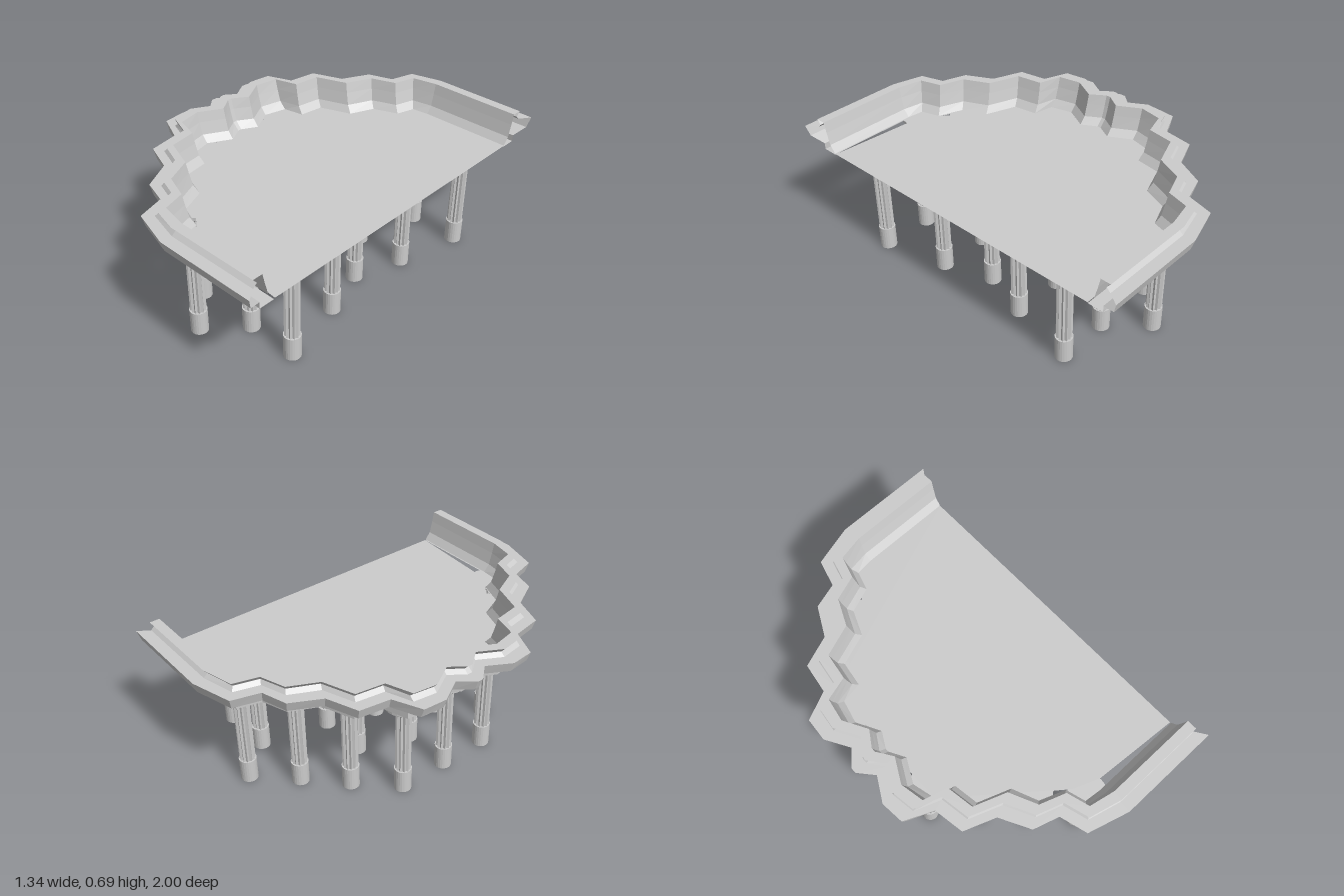
import * as THREE from 'three';

const mat = new THREE.MeshStandardMaterial({ color: 0xcccccc, flatShading: true, side: THREE.DoubleSide });
const smooth = new THREE.MeshStandardMaterial({ color: 0xcccccc, side: THREE.DoubleSide });

function add(parent, name, geometry, material = mat) {
  const mesh = new THREE.Mesh(geometry, material);
  mesh.name = name;
  parent.add(mesh);
  return mesh;
}

// Half of the scalloped rim, [x, z] from the open end to the middle
const outerHalf = [[0.67, 1], [0.13, 1], [-0.08, 0.94], [-0.12, 0.8], [-0.25, 0.76], [-0.33, 0.61],
  [-0.49, 0.55], [-0.515, 0.395], [-0.66, 0.33], [-0.67, 0.21], [-0.6, 0.09], [-0.665, 0.015]];
const innerHalf = [[0.63, 0.83], [0.14, 0.83], [0.05, 0.82], [0.02, 0.72], [-0.11, 0.67], [-0.165, 0.54],
  [-0.33, 0.48], [-0.35, 0.35], [-0.46, 0.33], [-0.49, 0.21], [-0.425, 0.09], [-0.47, 0.01]];
const mirrored = half => [...half, ...half.map(([x, z]) => [x, -z]).reverse()];

// Rim section: [fraction of the way from outer to inner path, height]
const section = [[1, 0.526], [0.53, 0.526], [0.53, 0.56], [0.1, 0.59], [0, 0.645], [0.35, 0.645],
  [0.47, 0.665], [0.35, 0.69], [0.65, 0.69], [0.72, 0.635], [0.82, 0.57], [1, 0.532]];

function rimGeometry() {
  const outer = mirrored(outerHalf), inner = mirrored(innerHalf);
  const pos = [], index = [], n = section.length;
  outer.forEach(([ox, oz], i) => {
    const [ix, iz] = inner[i];
    const isEnd = i === 0 || i === outer.length - 1;
    for (const [t, y] of section) {
      const tx = isEnd ? Math.min(1, t * 3) : t;
      pos.push(ox + (ix - ox) * tx, y, oz + (iz - oz) * t);
    }
  });
  for (let i = 0; i < outer.length - 1; i++) {
    for (let j = 0; j < n - 1; j++) {
      const a = i * n + j, b = a + n;
      index.push(a, b, a + 1, b, b + 1, a + 1);
    }
  }
  const g = new THREE.BufferGeometry();
  g.setAttribute('position', new THREE.Float32BufferAttribute(pos, 3));
  g.setIndex(index);
  g.computeVertexNormals();
  return g;
}

// Fluted shaft: every other rib of a cylinder is pulled inwards
function shaftGeometry() {
  const ribs = 24;
  const g = new THREE.CylinderGeometry(0.039, 0.039, 0.4, ribs, 1, true);
  const p = g.attributes.position;
  for (let i = 0; i < p.count; i++) {
    const k = Math.round(Math.atan2(p.getX(i), p.getZ(i)) / (2 * Math.PI) * ribs);
    if (k % 2 !== 0) {
      p.setX(i, p.getX(i) * 0.8);
      p.setZ(i, p.getZ(i) * 0.8);
    }
  }
  return g.translate(0, 0.32, 0);
}

export function createModel() {
  const model = new THREE.Group();
  model.name = 'columnedPlatform';

  add(model, 'rim', rimGeometry());

  // Flat deck, open along its straight side
  const outline = [[0.63, 0.825], [0.18, 0.79], [0.05, 0.74], [-0.32, 0.46], [-0.46, 0.33],
    [-0.46, -0.33], [-0.32, -0.46], [0.13, -0.83], [0.63, -0.83]];
  const deck = new THREE.Shape(outline.map(([x, z]) => new THREE.Vector2(x, -z)));
  add(model, 'deck', new THREE.ShapeGeometry(deck).rotateX(-Math.PI / 2).translate(0, 0.53, 0));

  // Columns: plain foot, fluted shaft, ringed capital
  const foot = new THREE.CylinderGeometry(0.043, 0.043, 0.125, 24).translate(0, 0.0625, 0);
  const shaft = shaftGeometry();
  const capital = new THREE.LatheGeometry([[0.03, 0.516], [0.055, 0.516], [0.06, 0.505], [0.088, 0.505],
    [0.095, 0.512], [0.095, 0.527], [0, 0.527]].map(([r, y]) => new THREE.Vector2(r, y)), 24);

  const column = (x, z) => {
    const c = new THREE.Group();
    c.name = 'column';
    add(c, 'columnFoot', foot);
    add(c, 'columnShaft', shaft);
    add(c, 'columnCapital', capital);
    c.position.set(x, 0, z);
    model.add(c);
  };
  for (const x of [-0.45, -0.19, 0.085, 0.355]) column(x, 0);
  const pairs = [[-0.45, 0.263], [-0.095, 0.263], [0.165, 0.263], [0.44, 0.263], [-0.275, 0.445],
    [-0.095, 0.617], [0.25, 0.617], [0.52, 0.617], [0.085, 0.798]];
  for (const [x, z] of pairs) {
    column(x, z);
    column(x, -z);
  }
  return model;
}
